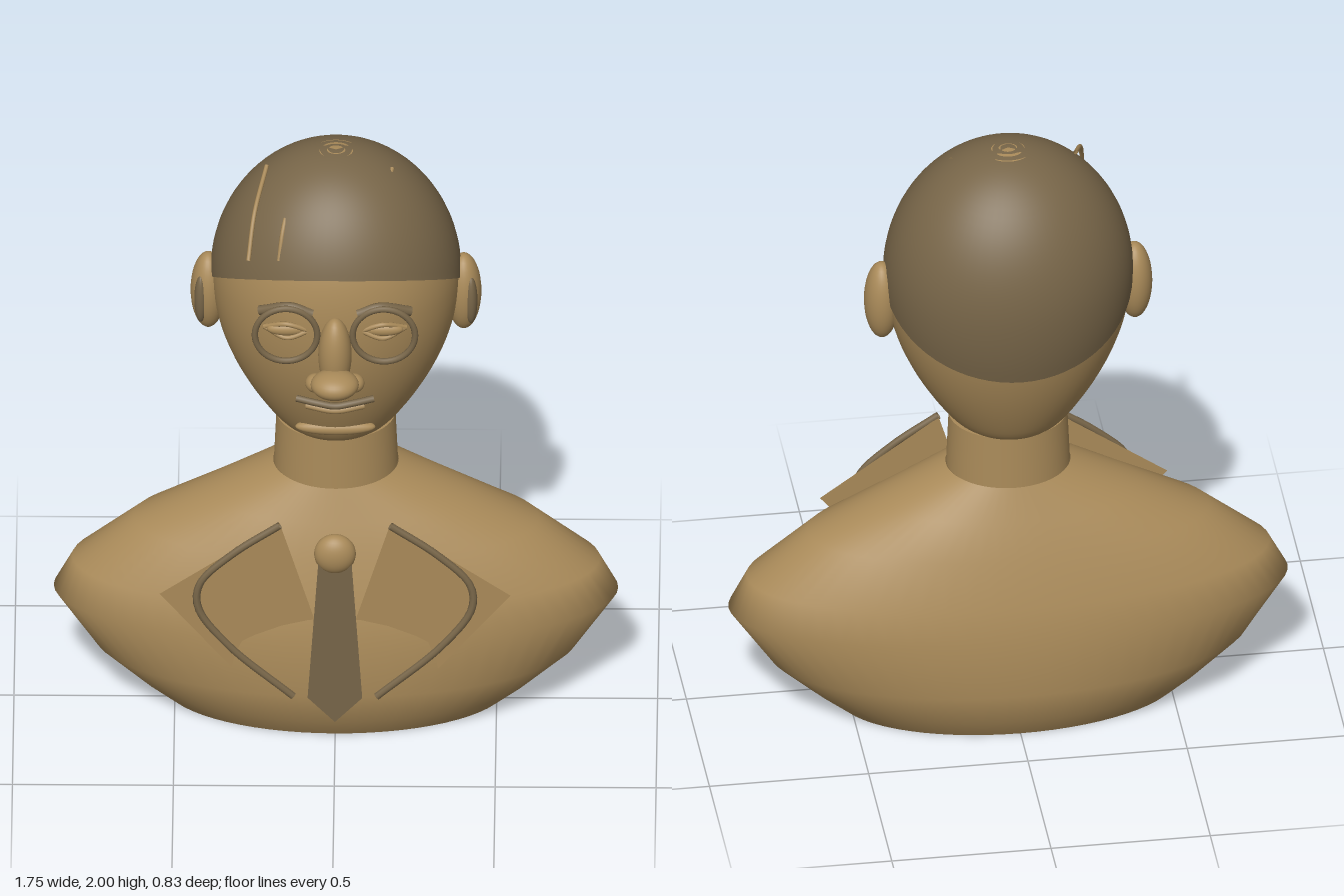
import * as THREE from 'three';
import { mergeVertices } from 'three/addons/utils/BufferGeometryUtils.js';

const bronze = new THREE.MeshStandardMaterial({ color: 0xa98a59, side: THREE.DoubleSide });
bronze.name = 'bronze';
const dark = new THREE.MeshStandardMaterial({ color: 0x776548, side: THREE.DoubleSide });
dark.name = 'dark bronze';

const V = (x, y, z) => new THREE.Vector3(x, y, z);
const CZ = -0.068; // depth of the body and head axis

// Closed-around surface from a rule point(u, v); v rises with y
function loft(point, nu, nv) {
  const pos = [], idx = [];
  for (let j = 0; j <= nv; j++)
    for (let i = 0; i <= nu; i++) pos.push(...point((i % nu) / nu, j / nv));
  for (let j = 0; j < nv; j++)
    for (let i = 0; i < nu; i++) {
      const a = j * (nu + 1) + i, c = a + nu + 1;
      idx.push(a, a + 1, c, a + 1, c + 1, c);
    }
  let g = new THREE.BufferGeometry();
  g.setAttribute('position', new THREE.Float32BufferAttribute(pos, 3));
  g.setIndex(idx);
  g = mergeVertices(g, 1e-5);
  g.computeVertexNormals();
  return g;
}

// Half width and half depth of the head at height y
function headSize(y) {
  if (y >= 1.55) {
    const k = Math.sqrt(Math.max(0, 1 - ((y - 1.55) / 0.45) ** 2));
    return [0.385 * k, 0.34 * k];
  }
  const t = Math.min(1, (1.55 - y) / 0.55);
  const round = Math.sqrt(Math.max(0, 1 - t ** 40));
  return [0.385 * (1 - 0.61 * t * t) * round, 0.34 * (1 - 0.5 * t * t) * round];
}

function headPoint(u, y, grow = 1) {
  const [w, d] = headSize(y), a = u * Math.PI * 2;
  return [Math.sin(a) * w * grow, y, CZ + Math.cos(a) * d * grow];
}

export function createModel() {
  const model = new THREE.Group();
  model.name = 'bust';

  const add = (name, geometry, material) => {
    const m = new THREE.Mesh(geometry, material);
    m.name = name;
    model.add(m);
    return m;
  };
  const blob = (name, mat, x, y, z, rx, ry, rz) =>
    add(name, new THREE.SphereGeometry(1, 32, 20).scale(rx, ry, rz), mat).position.set(x, y, z);
  const tube = (name, mat, r, pts) =>
    add(name, new THREE.TubeGeometry(new THREE.CatmullRomCurve3(pts), 32, r, 8), mat);
  const plate = (name, mat, z, pts) =>
    add(name, new THREE.ShapeGeometry(new THREE.Shape(pts.map(p => new THREE.Vector2(...p)))), mat).position.z = z;

  // Torso: elliptical sections, open below [y, half width, half depth]
  const rows = [
    [0, 0.535, 0.273], [0.07, 0.62, 0.315], [0.185, 0.75, 0.349], [0.37, 0.877, 0.332],
    [0.48, 0.82, 0.308], [0.63, 0.63, 0.26], [0.74, 0.405, 0.213], [0.845, 0.195, 0.166],
  ];
  add('torso', loft((u, v) => {
    const [y, w, d] = rows[Math.round(v * (rows.length - 1))], a = u * Math.PI * 2;
    return [Math.sin(a) * w, y, CZ + Math.cos(a) * d];
  }, 64, rows.length - 1), bronze);

  // Neck
  add('neck', new THREE.CylinderGeometry(0.185, 0.193, 0.18, 48).scale(1, 1, 0.88), bronze)
    .position.set(0, 0.935, CZ);

  // Head
  add('head', loft((u, v) => {
    const s = Math.sin((v - 0.5) * Math.PI);
    return headPoint(u, 1.55 + s * (s < 0 ? 0.55 : 0.45));
  }, 64, 48), bronze);

  // Hair cap, cut by a plane sloping down to the nape
  add('hair', loft((u, v) => {
    let y = 1.55;
    for (let i = 0; i < 20; i++) y = 1.567 + 0.61 * headPoint(u, y, 1.012)[2];
    const a0 = Math.asin((y - 1.55) / 0.45);
    const a = a0 + (Math.PI / 2 - a0) * v;
    return headPoint(u, 1.55 + 0.45 * Math.sin(a), 1.012);
  }, 64, 28), dark);

  // Loose strands of hair
  [
    [V(-0.27, 1.755, 0.19), V(-0.252, 1.87, 0.1), V(-0.215, 1.95, -0.05)],
    [V(-0.175, 1.755, 0.19), V(-0.163, 1.84, 0.15), V(-0.145, 1.9, 0.085)],
    [V(0.13, 1.79, 0.175), V(0.145, 1.885, 0.09), V(0.175, 1.95, -0.04)],
  ].forEach(p => tube('hairStrand', bronze, 0.007, p));

  // Nose
  blob('noseBridge', bronze, 0, 1.465, 0.28, 0.052, 0.133, 0.06);
  blob('noseTip', bronze, 0, 1.4, 0.35, 0.075, 0.043, 0.066);

  // Mouth and chin
  tube('upperLip', dark, 0.011, [V(-0.12, 1.285, 0.255), V(-0.05, 1.277, 0.272), V(0, 1.27, 0.276), V(0.05, 1.277, 0.272), V(0.12, 1.285, 0.255)]);
  tube('lowerLip', bronze, 0.012, [V(-0.09, 1.257, 0.25), V(0, 1.248, 0.266), V(0.09, 1.257, 0.25)]);
  blob('chin', bronze, 0, 1.105, 0.142, 0.125, 0.026, 0.03);

  for (const s of [1, -1]) {
    // Ears
    blob('ear', bronze, s * 0.397, 1.475, -0.07, 0.055, 0.135, 0.066);
    blob('innerEar', dark, s * 0.42, 1.467, -0.028, 0.02, 0.085, 0.026);

    // Nostril wings
    blob('nostril', bronze, s * 0.06, 1.383, 0.315, 0.032, 0.029, 0.034);

    // Eyes with lids
    blob('eye', bronze, s * 0.15, 1.538, 0.245, 0.062, 0.022, 0.02);
    for (const k of [1, -1])
      tube('eyelid', bronze, 0.008, [V(s * 0.08, 1.538, 0.255), V(s * 0.15, 1.538 + k * 0.025, 0.258), V(s * 0.22, 1.538, 0.232)]);

    // Brows and spectacle rims
    tube('eyebrow', dark, 0.016, [V(s * 0.07, 1.605, 0.262), V(s * 0.14, 1.626, 0.256), V(s * 0.235, 1.595, 0.228)]);
    add('spectacleRim', new THREE.TorusGeometry(0.097, 0.01, 10, 48), dark)
      .position.set(s * 0.152, 1.533, 0.272);

    // Lapel and its piping
    plate('lapel', bronze, 0.245, [[s * 0.172, 0.81], [s * 0.545, 0.545], [s * 0.295, 0.24], [s * 0.03, 0.34]]);
    tube('lapelPiping', dark, 0.012, [
      V(s * 0.172, 0.81, 0.256), V(s * 0.32, 0.705, 0.263), V(s * 0.42, 0.6, 0.27),
      V(s * 0.425, 0.515, 0.276), V(s * 0.33, 0.38, 0.285), V(s * 0.13, 0.2, 0.296),
    ]);
  }

  // Tie and knot
  plate('tie', dark, 0.291, [[-0.052, 0.69], [-0.085, 0.19], [0, 0.1], [0.085, 0.19], [0.052, 0.69]]);
  blob('tieKnot', bronze, 0, 0.715, 0.27, 0.065, 0.068, 0.043);

  return model;
}
